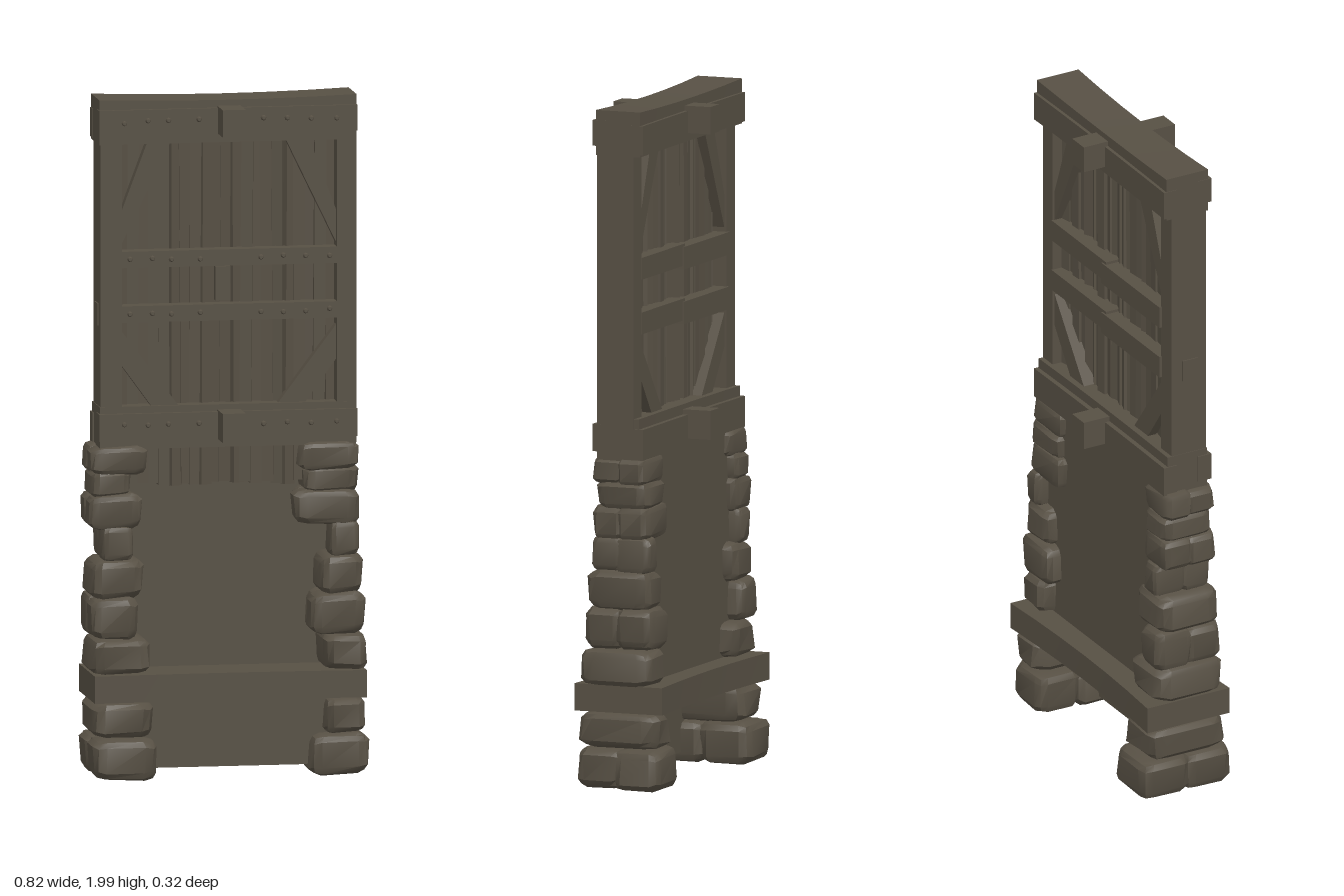
import * as THREE from 'three';
import { toCreasedNormals } from 'three/addons/utils/BufferGeometryUtils.js';

export function createModel() {
  const group = new THREE.Group();
  const material = new THREE.MeshStandardMaterial({ color: 0x575044 });
  material.name = 'weathered brown';

  let seed = 7;
  const rand = (a, b) => {
    seed = (seed * 16807) % 2147483647;
    return a + (b - a) * (seed / 2147483647);
  };

  const add = (name, geometry) => {
    const mesh = new THREE.Mesh(geometry, material);
    mesh.name = name;
    group.add(mesh);
    return mesh;
  };

  // Block given by its limits along each axis
  const block = (name, [x0, x1], [y0, y1], [z0, z1]) => {
    const mesh = add(name, new THREE.BoxGeometry(x1 - x0, y1 - y0, z1 - z0));
    mesh.position.set((x0 + x1) / 2, (y0 + y1) / 2, (z0 + z1) / 2);
    return mesh;
  };

  // Hewn timber: thinner at mid length, with a slightly sagging top
  const timber = (name, [x0, x1], [y0, y1], [z0, z1], waist, sag = 0) => {
    const length = x1 - x0;
    const g = new THREE.BoxGeometry(length, y1 - y0, z1 - z0, 6, 1, 1);
    const p = g.attributes.position;
    for (let i = 0; i < p.count; i++) {
      const bend = 1 - (2 * p.getX(i) / length) ** 2;
      p.setZ(i, p.getZ(i) - Math.sign(p.getZ(i)) * waist * bend);
      if (p.getY(i) > 0) p.setY(i, p.getY(i) - sag * bend);
    }
    const mesh = add(name, toCreasedNormals(g, 0.5));
    mesh.position.set((x0 + x1) / 2, (y0 + y1) / 2, (z0 + z1) / 2);
  };

  // Worn stone: a rounded block with uneven faces
  const stone = (name, [x0, x1], [y0, y1], [z0, z1]) => {
    const g = new THREE.BoxGeometry(2, 2, 2, 3, 3, 3);
    const p = g.attributes.position;
    const v = new THREE.Vector3();
    const k = rand(0, 20);
    for (let i = 0; i < p.count; i++) {
      v.fromBufferAttribute(p, i);
      for (const a of ['x', 'y', 'z']) if (Math.abs(v[a]) < 0.9) v[a] = Math.sign(v[a]) * 0.62;
      const wobble = 0.04 * Math.sin(v.x * 2.3 + v.y * 3.1 + v.z * 4.7 + k);
      const n = (v.x ** 4 + v.y ** 4 + v.z ** 4) ** 0.25;
      v.multiplyScalar((1.03 + wobble) / n);
      p.setXYZ(i, v.x, v.y + 0.06 * v.x * Math.sin(k), v.z);
    }
    g.scale((x1 - x0) / 2, (y1 - y0) / 2, (z1 - z0) / 2);
    const mesh = add(name, toCreasedNormals(g, 0.55));
    mesh.position.set((x0 + x1) / 2, (y0 + y1) / 2, (z0 + z1) / 2);
  };

  // Stone columns: y limits, right column x, left column x, z limits, split in two
  const courses = [
    [0.01, 0.135, -0.41, -0.22, 0.23, 0.41, -0.155, 0.15, true],
    [0.13, 0.24, -0.41, -0.225, 0.275, 0.4, -0.13, 0.13, false],
    [0.315, 0.425, -0.41, -0.23, 0.275, 0.405, -0.11, 0.12, false],
    [0.42, 0.545, -0.41, -0.27, 0.235, 0.4, -0.11, 0.11, true],
    [0.535, 0.655, -0.41, -0.25, 0.265, 0.395, -0.1, 0.105, false],
    [0.645, 0.755, -0.375, -0.28, 0.295, 0.385, -0.1, 0.09, true],
    [0.74, 0.845, -0.415, -0.255, 0.19, 0.385, -0.09, 0.09, true],
    [0.83, 0.915, -0.405, -0.285, 0.22, 0.385, -0.09, 0.08, false],
    [0.9, 0.985, -0.41, -0.24, 0.205, 0.385, -0.08, 0.09, true],
  ];
  for (const [y0, y1, a0, a1, b0, b1, z0, z1, split] of courses) {
    for (const [x0, x1] of [[a0, a1], [b0, b1]]) {
      // The left column stands a little shallower at its foot
      const trim = x0 > 0 && y0 < 0.1 ? 0.02 : 0;
      if (split) {
        const inset = rand(0, 0.03);
        const back = x0 < 0 ? [x0, x1 - inset] : [x0 + inset, x1];
        stone('frontStone', [x0, x1], [y0, y1], [-0.012, z1 - trim]);
        stone('backStone', back, [y0, y1], [z0 + trim, 0.014]);
      } else {
        stone('columnStone', [x0, x1], [y0, y1], [z0, z1]);
      }
    }
  }

  // Back wall above the cross beam, front wall below it
  block('backWall', [-0.33, 0.33], [0.28, 0.99], [-0.058, -0.045]);
  block('frontWall', [-0.33, 0.33], [0.04, 0.28], [0.06, 0.073]);
  timber('crossBeam', [-0.405, 0.395], [0.24, 0.32], [-0.142, 0.133], 0.015);

  // Vertical planks of the shutter
  const count = 21;
  for (let i = 0; i < count; i++) {
    const x = -0.32 + (i + 0.5) * (0.64 / count);
    const bottom = 0.86 + rand(-0.004, 0.008);
    const plank = block('plank', [x - 0.017, x + 0.017], [bottom, 1.91], [-0.008, rand(0.016, 0.028)]);
    plank.position.z += rand(-0.006, 0.008);
    plank.rotation.y = rand(-0.5, 0.5);
    plank.rotation.z = rand(-0.008, 0.008);
  }

  // Frame posts
  block('rightPost', [-0.378, -0.315], [0.98, 1.92], [-0.045, 0.07]);
  block('leftPost', [0.318, 0.375], [0.98, 1.92], [-0.045, 0.07]);

  // Top and bottom beams with their front and back boards and through pegs
  timber('topBeam', [-0.382, 0.375], [1.868, 2.0], [-0.065, 0.074], 0.004, 0.008);
  timber('bottomBeam', [-0.38, 0.373], [0.975, 1.1], [-0.06, 0.072], 0.004);
  for (const [y0, y1] of [[1.895, 1.97], [1.0, 1.08]]) {
    timber('frontBoard', [-0.384, 0.376], [y0, y1], [0.04, 0.085], 0.003);
    timber('backBoard', [-0.384, 0.376], [y0 - 0.02, y1 - 0.01], [-0.074, -0.03], 0.003);
    block('peg', [-0.034, 0.034], [y0, y1 + 0.005], [-0.142, 0.163]);
  }

  // Middle rails: one set with studs in front, overlapping halves behind
  for (const y of [1.53, 1.37]) {
    block('frontRail', [-0.315, 0.32], [y - 0.024, y + 0.024], [0.025, 0.072]);
    block('backRailRight', [-0.32, 0.02], [y - 0.038, y + 0.028], [-0.053, 0.002]);
    block('backRailLeft', [0, 0.32], [y - 0.028, y + 0.036], [-0.048, 0.002]);
  }
  block('railEnd', [-0.382, -0.37], [1.335, 1.4], [-0.01, 0.04]);
  block('railJoint', [-0.035, 0.01], [1.4, 1.5], [0.02, 0.042]);

  // Corner braces on both faces: straight strips cut flush with the frame
  const brace = (points, z0, z1) => {
    const shape = new THREE.Shape(points.map(([x, y]) => new THREE.Vector2(x, y)));
    const g = new THREE.ExtrudeGeometry(shape, { depth: z1 - z0, bevelEnabled: false });
    add('brace', g).position.z = z0;
  };
  for (const s of [-1, 1]) {
    for (const [z0, z1] of [[0.025, 0.058], [-0.038, 0.004]]) {
      brace([[s * 0.318, 1.565], [s * 0.318, 1.66], [s * 0.235, 1.88], [s * 0.165, 1.88]], z0, z1);
      brace([[s * 0.318, 1.325], [s * 0.318, 1.225], [s * 0.22, 1.09], [s * 0.14, 1.09]], z0, z1);
    }
  }

  // Iron studs
  const stud = new THREE.CylinderGeometry(0.005, 0.009, 0.01, 8).rotateX(Math.PI / 2);
  for (const [y, z] of [[1.935, 0.086], [1.53, 0.075], [1.37, 0.075], [1.045, 0.086]]) {
    for (const x of [-0.31, -0.24, -0.18, -0.09, 0.1, 0.17, 0.24, 0.315]) {
      const px = z < 0.08 ? x * 0.94 : x;
      add('stud', stud).position.set(px, y + rand(-0.004, 0.004), z);
    }
  }

  return group;
}
